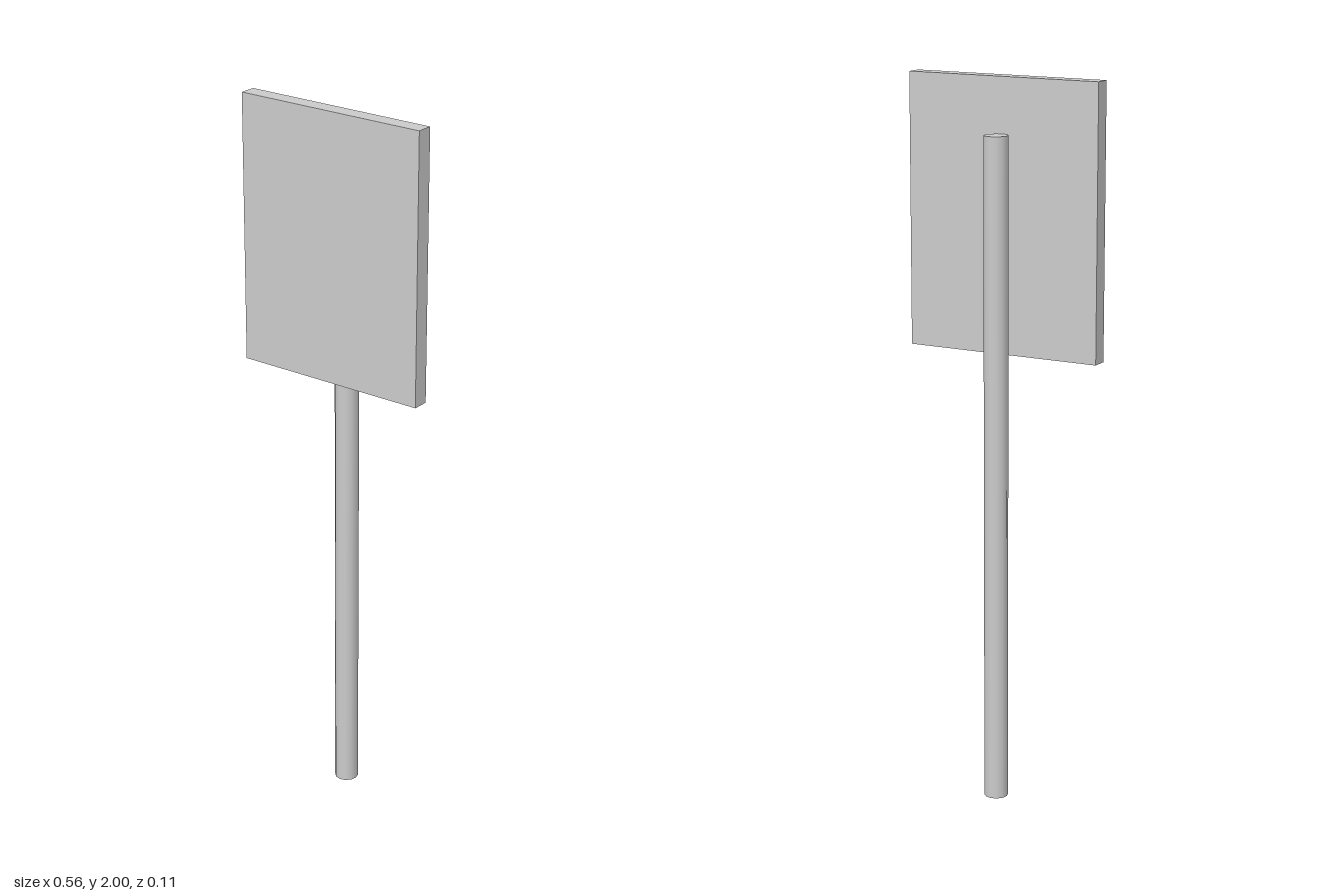
import * as THREE from 'three';

export function createModel() {
  const group = new THREE.Group();
  const material = new THREE.MeshStandardMaterial({ color: 0xcccccc });

  const add = (name, geometry, x, y, z) => {
    const mesh = new THREE.Mesh(geometry, material);
    mesh.name = name;
    mesh.position.set(x, y, z);
    group.add(mesh);
  };

  // Round post, standing just behind the board
  const postHeight = 1.85, postRadius = 0.033;
  add('post', new THREE.CylinderGeometry(postRadius, postRadius, postHeight, 12), 0, postHeight / 2, -0.023);

  // Flat sign board, its back touching the post
  const boardHeight = 0.742, boardDepth = 0.046;
  add('signBoard', new THREE.BoxGeometry(0.562, boardHeight, boardDepth), 0, 2 - boardHeight / 2, 0.01 + boardDepth / 2);

  return group;
}
